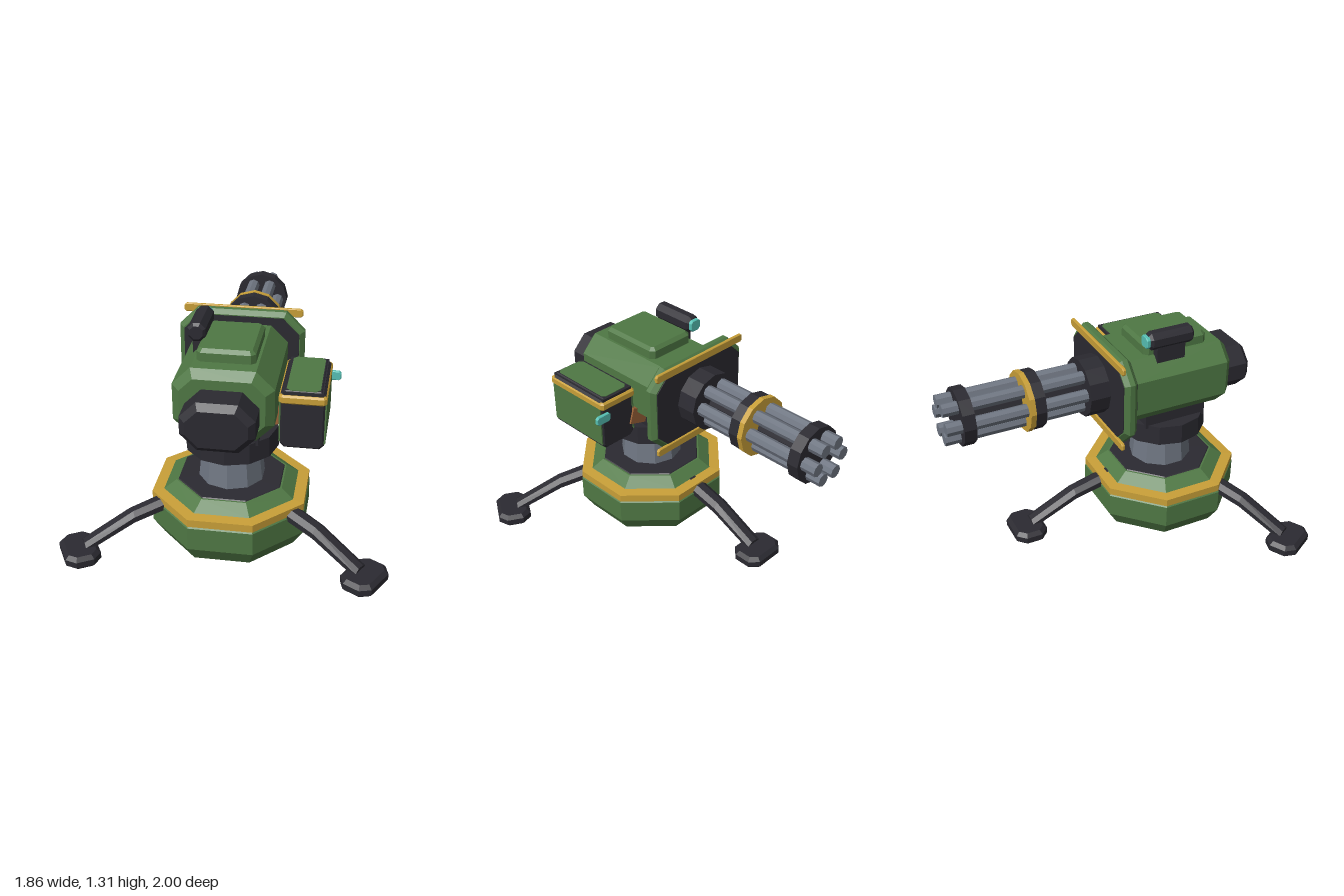
import * as THREE from 'three';

const mat = (name, color) => {
  const m = new THREE.MeshStandardMaterial({ color, flatShading: true });
  m.name = name;
  return m;
};

export function createModel() {
  const green = mat('green paint', 0x4f7844);
  const dark = mat('dark metal', 0x2b2a31);
  const gold = mat('gold trim', 0xc89f38);
  const steel = mat('steel', 0x6f7682);
  const teal = mat('teal glass', 0x56c0b4);
  const brown = mat('brown brass', 0x9a6238);

  const model = new THREE.Group();
  model.name = 'turret';

  const add = (name, geo, material, x = 0, y = 0, z = 0, parent = model) => {
    const m = new THREE.Mesh(geo, material);
    m.name = name;
    m.position.set(x, y, z);
    parent.add(m);
    return m;
  };
  const box = (w, h, d) => new THREE.BoxGeometry(w, h, d);

  // Octagonal block along z: corner cut c, edge bevel b on both ends
  const block = (w, h, d, c, b) => {
    const x = w / 2 - b, y = h / 2 - b, k = Math.max(c - 0.586 * b, 0.004);
    const s = new THREE.Shape([
      [x, y - k], [x - k, y], [k - x, y], [-x, y - k],
      [-x, k - y], [k - x, -y], [x - k, -y], [x, k - y],
    ].map(p => new THREE.Vector2(...p)));
    const g = new THREE.ExtrudeGeometry(s, {
      depth: d - 2 * b, bevelEnabled: b > 0, bevelSize: b, bevelThickness: b, bevelSegments: 1,
    });
    return g.translate(0, 0, -(d - 2 * b) / 2);
  };

  // Eight-sided turned part, radii measured to the flats
  const octLathe = pts => new THREE.LatheGeometry(
    pts.map(([r, y]) => new THREE.Vector2(r / Math.cos(Math.PI / 8), y)), 8, Math.PI / 8);

  // Drum lying along z between z0 and z1
  const drum = (r, z0, z1, sides) =>
    new THREE.CylinderGeometry(r, r, z1 - z0, sides).rotateX(Math.PI / 2).translate(0, 0, (z0 + z1) / 2);

  // Base, pedestal and collar
  const bz = 0.395;
  add('base', octLathe([[0, 0], [0.38, 0], [0.44, 0.1], [0.44, 0.24], [0.375, 0.298], [0.305, 0.35], [0, 0.35]]), green, 0, 0, bz);
  add('baseRing', octLathe([[0.4, 0.24], [0.437, 0.25], [0.437, 0.295], [0.36, 0.3]]), gold, 0, 0, bz);
  add('baseTop', octLathe([[0.295, 0.35], [0.29, 0.355], [0, 0.355]]), dark, 0, 0, bz);
  add('pedestal', new THREE.CylinderGeometry(0.17, 0.195, 0.24, 10), steel, 0, 0.46, bz);
  add('collar', new THREE.CylinderGeometry(0.265, 0.27, 0.12, 12), dark, 0, 0.62, bz);
  add('cradle', box(0.36, 0.1, 0.4), dark, 0, 0.71, bz);

  // Bent leg lofted through octagonal sections [reach, height, width, thickness]
  const legGeometry = () => {
    const rows = [[0.36, 0.262, 0.11, 0.085], [0.61, 0.2, 0.105, 0.08], [0.9, 0.065, 0.1, 0.065]];
    const pos = [], idx = [], n = 8;
    rows.forEach(([r, y, w, h]) => {
      for (let i = 0; i < n; i++) {
        const a = (i + 0.5) * Math.PI / 4;
        pos.push(Math.cos(a) * w * 0.54, y + Math.sin(a) * h * 0.54, r);
      }
    });
    for (let j = 0; j < rows.length - 1; j++) {
      for (let i = 0; i < n; i++) {
        const a = j * n + i, b = j * n + (i + 1) % n;
        idx.push(a, b, b + n, a, b + n, a + n);
      }
    }
    const e = (rows.length - 1) * n;
    for (let i = 1; i < n - 1; i++) idx.push(0, i + 1, i, e, e + i, e + i + 1);
    const g = new THREE.BufferGeometry();
    g.setAttribute('position', new THREE.Float32BufferAttribute(pos, 3));
    g.setIndex(idx);
    g.computeVertexNormals();
    return g;
  };
  const legGeo = legGeometry();
  const footGeo = block(0.274, 0.2, 0.08, 0.05, 0.022).rotateX(Math.PI / 2);
  for (const deg of [60, -60, 180]) {
    const leg = new THREE.Group();
    leg.name = 'leg';
    leg.position.z = bz;
    leg.rotation.y = deg * Math.PI / 180;
    add('legStrut', legGeo, dark, 0, 0, 0, leg);
    add('foot', footGeo, dark, 0, 0.04, 0.925, leg);
    model.add(leg);
  }

  // Housing with motor block and top hatch
  add('housing', block(0.55, 0.41, 0.7, 0.1, 0.045), green, 0, 0.945, 0.37);
  add('motorBlock', block(0.4, 0.28, 0.24, 0.09, 0.035), dark, 0, 0.91, 0.78);
  add('topHatch', block(0.32, 0.41, 0.09, 0.025, 0.02).rotateX(Math.PI / 2), green, 0, 1.175, 0.39);

  // Shield with dark panels and gold bars
  const cy = 0.945;
  add('shield', block(0.735, 0.545, 0.08, 0.11, 0.025), green, 0, cy, 0.005);
  for (const s of [1, -1]) {
    add('shieldPanel', block(0.675, 0.485, 0.008, 0.095, 0), dark, 0, cy, 0.005 + s * 0.04);
    add('shieldBar', block(0.7, 0.05, 0.02, 0.012, 0.004), gold, 0, cy + s * 0.248, -0.04);
  }

  // Sight
  add('sight', block(0.1, 0.105, 0.28, 0.03, 0.015), dark, -0.18, 1.255, 0.33);
  add('sightMount', box(0.06, 0.12, 0.18), dark, -0.18, 1.17, 0.33);
  add('sightLens', block(0.075, 0.07, 0.025, 0.015, 0.004), teal, -0.18, 1.255, 0.18);

  // Ammunition box with side panels, lid and lamp
  const ax = 0.418, az = 0.43;
  add('ammoBox', block(0.24, 0.345, 0.43, 0.025, 0.012), dark, ax, 0.865, az);
  for (const s of [1, -1]) add('ammoSidePanel', box(0.008, 0.25, 0.42), green, ax + s * 0.122, 0.855, az);
  add('ammoLidBand', block(0.255, 0.465, 0.05, 0.015, 0.01).rotateX(Math.PI / 2), gold, ax, 0.99, az);
  add('ammoLidRim', box(0.215, 0.02, 0.435), dark, ax, 1.022, az);
  add('ammoLidPanel', block(0.18, 0.41, 0.008, 0.02, 0).rotateX(Math.PI / 2), green, ax, 1.036, az);
  add('ammoLamp', block(0.1, 0.055, 0.022, 0.012, 0.004), teal, 0.546, 0.925, 0.194);

  // Feed belt of sloping cartridges between box and housing
  for (let i = 0; i < 7; i++) {
    const c = add('cartridge', box(0.12, 0.1, 0.032), brown, 0.26, 0.81, 0.22 + i * 0.047);
    c.rotation.z = 0.3;
  }

  // Barrel cluster with clamps
  const gun = new THREE.Group();
  gun.name = 'barrelCluster';
  gun.position.y = 0.95;
  model.add(gun);
  add('barrelMount', drum(0.178, -0.16, -0.02, 12), dark, 0, 0, 0, gun);
  add('middleClamp', drum(0.176, -0.497, -0.43, 12), dark, 0, 0, 0, gun);
  add('goldClamp', drum(0.18, -0.527, -0.495, 12), gold, 0, 0, 0, gun);
  add('muzzleClamp', drum(0.17, -0.91, -0.84, 12), dark, 0, 0, 0, gun);
  add('spindle', drum(0.045, -0.88, -0.1, 8), dark, 0, 0, 0, gun);
  const barrelGeo = drum(0.039, -1, -0.1, 8);
  for (let i = 0; i < 6; i++) {
    const a = i * Math.PI / 3;
    add('barrel', barrelGeo, steel, Math.cos(a) * 0.107, Math.sin(a) * 0.107, 0, gun);
  }

  return model;
}
